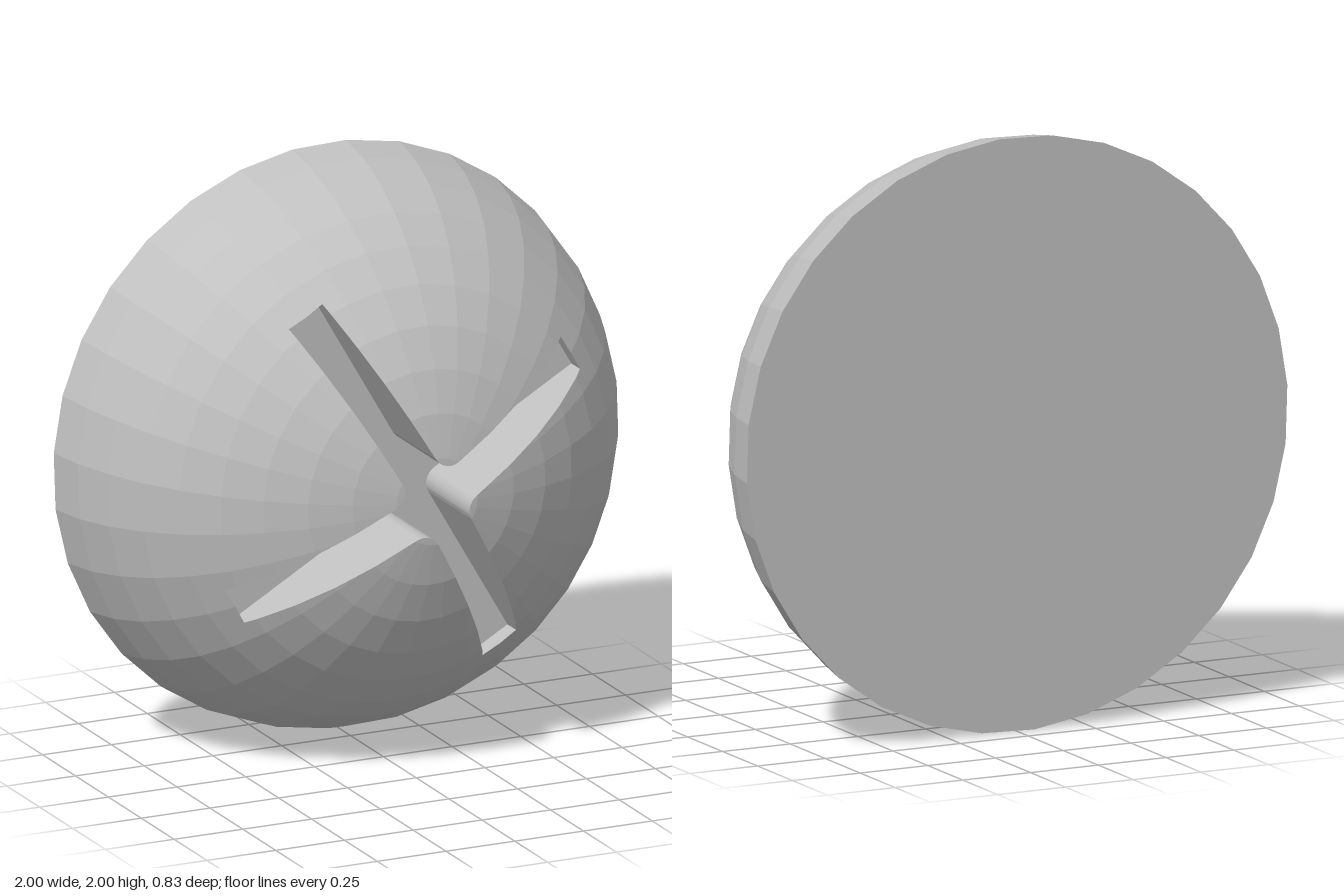
import * as THREE from 'three';

const SEG = 32, ROWS = 10, STEP = (2 * Math.PI) / SEG;
const HALF_W = 0.07, ARM = 0.705, FILLET = 0.06, FLOOR_Z = 0.08;

// Dome profile: rings from the apex (z 0.42) to the rim (r 1, z -0.42)
const rings = Array.from({ length: ROWS + 1 }, (_, k) => {
  const a = (k / ROWS) * (Math.PI / 2 - Math.asin(0.08 / 0.92));
  return { r: 1.0038 * Math.sin(a), z: -0.5 + 0.92 * Math.cos(a) };
});

function heightAt(r) {
  let k = 1;
  while (k < ROWS && rings[k].r < r) k++;
  const a = rings[k - 1], b = rings[k];
  return a.z + ((b.z - a.z) * (r - a.r)) / (b.r - a.r);
}

// Shrink factor that keeps points on the straight side of a faceted ring
function chord(phi) {
  const m = phi - Math.floor(phi / STEP + 1e-9) * STEP;
  return Math.cos(STEP / 2) / Math.cos(m - STEP / 2);
}

// Distance from the centre to the outline of the filleted cross
function crossRadius(phi) {
  const q = Math.PI / 2;
  const p = Math.abs(phi - Math.round(phi / q) * q);
  if (Math.tan(p) <= HALF_W / ARM) return ARM / Math.cos(p);
  const c = HALF_W + FILLET;
  if (HALF_W / Math.tan(p) >= c) return HALF_W / Math.sin(p);
  const b = c * (Math.cos(p) + Math.sin(p));
  return b - Math.sqrt(Math.max(0, b * b - 2 * c * c + FILLET * FILLET));
}

// Column angles: facet edges, arm corners, fillet points and ring crossings
function columnAngles() {
  const start = Math.atan(HALF_W / (HALF_W + FILLET)), base = [Math.atan(HALF_W / ARM)];
  for (let i = 0; i <= 4; i++) base.push(i * STEP);
  for (let i = 0; i < 4; i++) base.push(start + ((Math.PI / 4 - start) * i) / 4);
  for (const { r } of rings) {
    if (r < HALF_W + FILLET || r > ARM) continue;
    let p = Math.asin(HALF_W / r);
    for (let i = 0; i < 5; i++) p = Math.asin(HALF_W / (r * chord(p)));
    base.push(p);
  }
  const all = [];
  for (let q = 0; q < 4; q++)
    for (const p of base) all.push((q * Math.PI) / 2 + p, ((q + 1) * Math.PI) / 2 - p);
  all.sort((a, b) => a - b);
  return all.filter((p, i) => i === 0 || p - all[i - 1] > 1e-5);
}

// Flat-shaded triangle collector
function collector() {
  const pos = [];
  const tri = (a, b, c) => {
    const n = b.clone().sub(a).cross(c.clone().sub(a));
    if (n.length() > 1e-9) for (const v of [a, b, c]) pos.push(v.x, v.y, v.z);
  };
  return {
    tri,
    quad(a, b, c, d) { tri(a, b, c); tri(a, c, d); },
    mesh(name, material) {
      const g = new THREE.BufferGeometry();
      g.setAttribute('position', new THREE.Float32BufferAttribute(pos, 3));
      g.computeVertexNormals();
      const m = new THREE.Mesh(g, material);
      m.name = name;
      return m;
    },
  };
}

export function createModel() {
  const grey = new THREE.MeshStandardMaterial({ color: 0xc0c0c0 });
  grey.name = 'grey';
  const polar = (r, phi, z) => new THREE.Vector3(r * Math.cos(phi), r * Math.sin(phi), z);
  const dome = collector(), walls = collector(), floor = collector(), back = collector();
  const floorCentre = new THREE.Vector3(0, 0, FLOOR_Z);
  const backCentre = new THREE.Vector3(0, 0, rings[ROWS].z);

  const columns = columnAngles().map((phi) => {
    const f = chord(phi), rho = crossRadius(phi), inner = rho / f;
    return {
      pts: rings.map(({ r }) => {
        const s = Math.max(r, inner);
        return polar(s * f, phi, heightAt(s));
      }),
      low: polar(rho, phi, FLOOR_Z),
    };
  });

  columns.forEach((a, i) => {
    const b = columns[(i + 1) % columns.length];
    // Dome skin outside the cross
    for (let k = 0; k < ROWS; k++) dome.quad(a.pts[k], a.pts[k + 1], b.pts[k + 1], b.pts[k]);
    // Recess sides and floor
    walls.quad(a.pts[0], b.pts[0], b.low, a.low);
    floor.tri(floorCentre, a.low, b.low);
    // Flat back disc
    back.tri(backCentre, b.pts[ROWS], a.pts[ROWS]);
  });

  const head = new THREE.Group();
  head.name = 'domedHead';
  head.add(
    dome.mesh('domeSurface', grey),
    walls.mesh('crossRecessWalls', grey),
    floor.mesh('crossRecessFloor', grey),
    back.mesh('flatBack', grey),
  );
  head.rotation.z = Math.PI / 6;
  head.position.y = 1;

  const model = new THREE.Group();
  model.name = 'crossSlotHead';
  model.add(head);
  return model;
}
